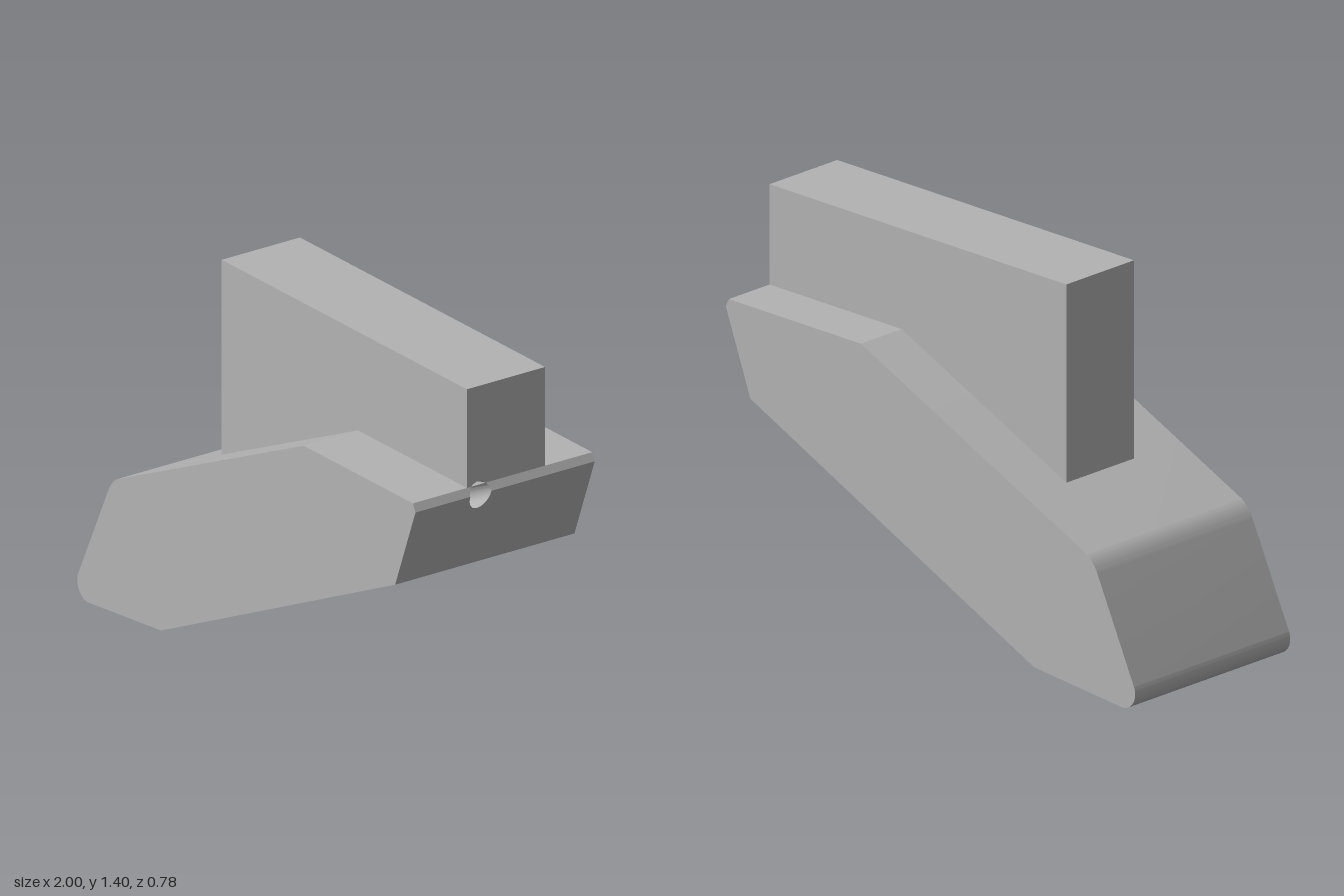
import * as THREE from 'three';
import { toCreasedNormals } from 'three/addons/utils/BufferGeometryUtils.js';

const CREASE = 0.3;
const HALF = 0.39;                  // half width of the body
const BLOCK_Z = [-0.185, 0.155];
const BLOCK_TOP = 1.405, BODY_TOP = 1.03, END_X = 0.985;
const HOLE = { z: 0.105, r: 0.046, slope: 0.455 };

// Extrude an outline from z0 to z1, leaving out the faces that keep() rejects
function extrude(shape, z0, z1, keep) {
  const g = new THREE.ExtrudeGeometry(shape, { depth: z1 - z0, bevelEnabled: false, curveSegments: 14 });
  g.translate(0, 0, z0);
  const p = g.attributes.position, tri = new THREE.Triangle(), n = new THREE.Vector3(), out = [];
  for (let i = 0; i < p.count; i += 3) {
    tri.setFromAttributeAndIndices(p, i, i + 1, i + 2);
    tri.getNormal(n);
    if (keep(n)) for (const v of [tri.a, tri.b, tri.c]) out.push(v.x, v.y, v.z);
  }
  return fromPositions(out);
}

function fromPositions(list) {
  const g = new THREE.BufferGeometry();
  g.setAttribute('position', new THREE.Float32BufferAttribute(list, 3));
  return toCreasedNormals(g, CREASE);
}

// Profile of the right-hand end: undercut, small bevel, then upright
function endX(y) {
  if (y <= 1) return 0.88 + 0.12 * (y - 0.685) / 0.315;
  return y <= BODY_TOP ? 1 - 0.5 * (y - 1) : END_X;
}

// Lower and upper edge of the sloping round hole at a given z
function holeEdges(z) {
  const h = Math.sqrt(Math.max(0, HOLE.r ** 2 - (z - HOLE.z) ** 2)) * Math.hypot(1, HOLE.slope);
  const low = 1 - h / (1 - HOLE.slope * 0.12 / 0.315);
  let high = 1 + h / (1 + HOLE.slope * 0.5);
  if (high > BODY_TOP) high = Math.max(BODY_TOP, 1 - 0.015 * HOLE.slope + h);
  return [low, high];
}

function quad(out, a, b, c, d) {
  out.push(...a, ...b, ...c, ...a, ...c, ...d);
}

export function createModel() {
  const model = new THREE.Group();
  const grey = new THREE.MeshStandardMaterial({ color: 0xb3b3b3 });
  grey.name = 'grey';
  const add = (name, geometry) => {
    const mesh = new THREE.Mesh(geometry, grey);
    mesh.name = name;
    model.add(mesh);
  };

  // Slanted body with rounded nose
  const body = new THREE.Shape();
  body.moveTo(-0.505, 0.04);
  body.lineTo(0.88, 0.685);
  body.lineTo(1, 1);
  body.lineTo(END_X, BODY_TOP);
  body.lineTo(0.34, BODY_TOP);
  body.lineTo(-0.76, 0.53);
  body.quadraticCurveTo(-0.796, 0.512, -0.82, 0.46);
  body.absarc(-0.935, 0.065, 0.065, 2.698, 4.627, false);
  body.closePath();
  add('body', extrude(body, -HALF, HALF, n => n.x < 0.8));

  // Upright block standing on the body
  const block = new THREE.Shape([[-0.465, 0.664], [0.34, BODY_TOP], [END_X, BODY_TOP],
    [END_X, BLOCK_TOP], [-0.465, BLOCK_TOP]].map(p => new THREE.Vector2(...p)));
  add('uprightBlock', extrude(block, ...BLOCK_Z, n => n.x < 0.8 && n.y > -0.5));

  // End faces in columns around the hole
  const N = 28, zs = [-HALF, BLOCK_Z[0]];
  for (let i = 0; i <= N; i++) zs.push(HOLE.z - HOLE.r * Math.cos(Math.PI * i / N));
  zs.push(BLOCK_Z[1], HALF);
  const bodyEnd = [], blockEnd = [], wall = [];
  const back = ([x, y, z]) => [x - 0.4, y - 0.4 * HOLE.slope, z];
  for (let i = 0; i < zs.length - 1; i++) {
    const [z0, z1] = [zs[i], zs[i + 1]];
    const [[l0, h0], [l1, h1]] = [holeEdges(z0), holeEdges(z1)];
    const pt = (y, z) => [endX(y), y, z];
    const strip = (out, a0, a1, b0, b1) => quad(out, pt(a0, z0), pt(b0, z0), pt(b1, z1), pt(a1, z1));
    strip(bodyEnd, 0.685, 0.685, l0, l1);
    strip(bodyEnd, Math.min(h0, BODY_TOP), Math.min(h1, BODY_TOP), BODY_TOP, BODY_TOP);
    if (z0 >= BLOCK_Z[0] && z1 <= BLOCK_Z[1]) {
      const a = [END_X, Math.max(h0, BODY_TOP), z0], b = [END_X, Math.max(h1, BODY_TOP), z1];
      quad(blockEnd, a, [END_X, BLOCK_TOP, z0], [END_X, BLOCK_TOP, z1], b);
    }
    if (i >= 2 && i < 2 + N) {
      const [a, b, c, d] = [pt(l0, z0), pt(l1, z1), pt(h0, z0), pt(h1, z1)];
      quad(wall, back(a), back(b), b, a);
      quad(wall, back(d), back(c), c, d);
      quad(wall, back(a), back(c), back(d), back(b)); // closed bottom of the hole
    }
  }
  add('bodyEnd', fromPositions(bodyEnd));
  add('blockEnd', fromPositions(blockEnd));
  add('holeWall', fromPositions(wall));
  return model;
}
